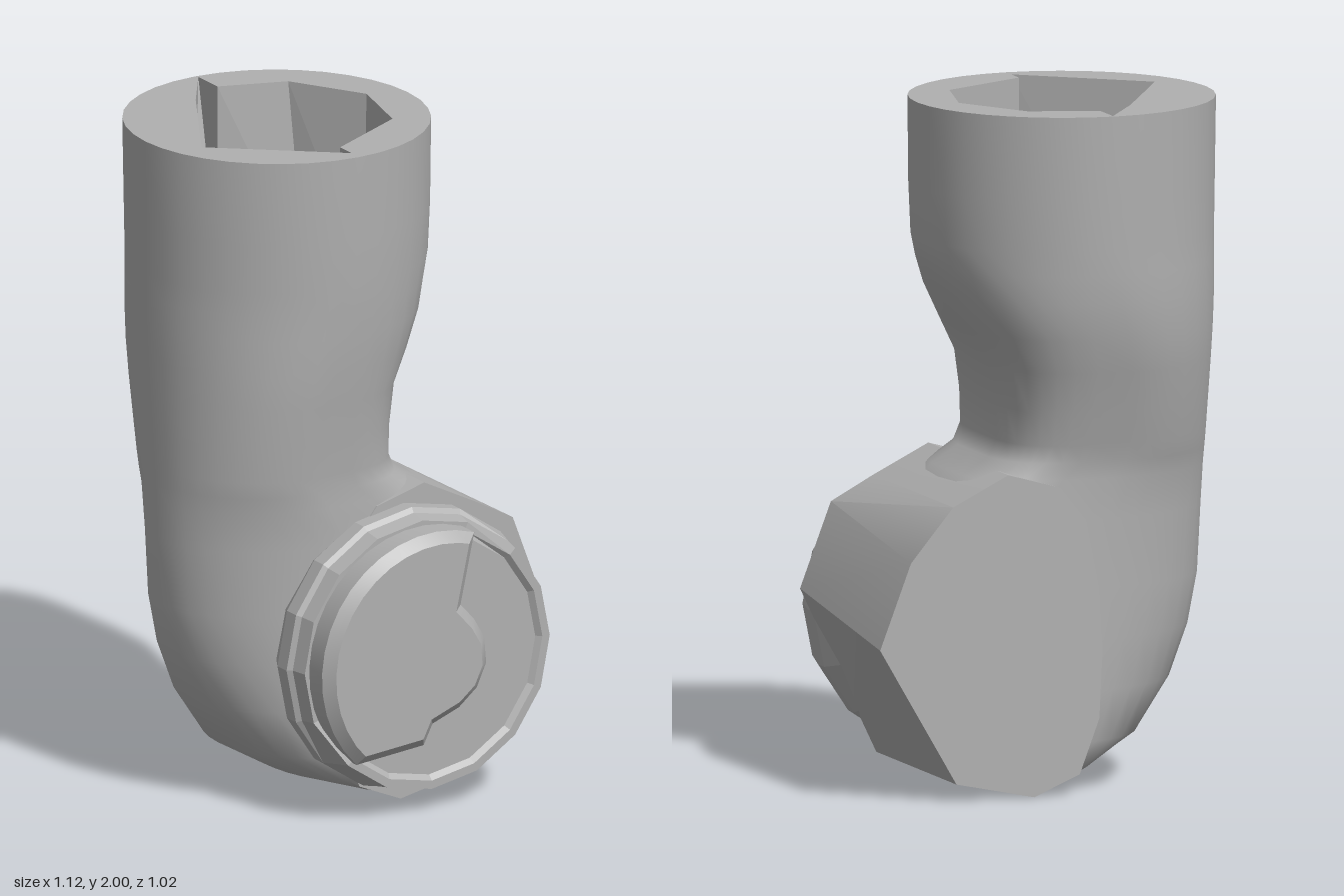
import * as THREE from 'three';
import { toCreasedNormals } from 'three/addons/utils/BufferGeometryUtils.js';

const V2 = (p) => p.map(([x, y]) => new THREE.Vector2(x, y));

// Skin between rings of [x, y, z] points, listed from top to bottom
function loft(rings) {
  const n = rings[0].length, index = [];
  for (let i = 0; i < rings.length - 1; i++) {
    for (let j = 0; j < n; j++) {
      const a = i * n + j, b = i * n + (j + 1) % n;
      index.push(a, b, a + n, b, b + n, a + n);
    }
  }
  const g = new THREE.BufferGeometry();
  g.setAttribute('position', new THREE.Float32BufferAttribute(rings.flat(2), 3));
  g.setIndex(index);
  g.computeVertexNormals();
  return g;
}

function flat(g) {
  const f = g.toNonIndexed();
  f.computeVertexNormals();
  return f;
}

// Oval ring at height y; its +x half grows squarer towards the waist and below
function oval([y, x0, x1, z0, z1], n = 36) {
  const square = 2 + 1.6 * THREE.MathUtils.clamp((1.55 - y) / 0.5, 0, 1);
  return Array.from({ length: n }, (_, j) => {
    const t = (j / n) * Math.PI * 2, c = Math.cos(t), s = Math.sin(t);
    const power = c > 0 ? 2 / square : 1;
    const u = Math.sign(c) * Math.abs(c) ** power, v = Math.sign(s) * Math.abs(s) ** power;
    return [(x0 + x1) / 2 + (x1 - x0) / 2 * u, y, (z0 + z1) / 2 + (z1 - z0) / 2 * v];
  });
}

// Move every vertex of a geometry by a rule
function bend(g, rule) {
  const pos = g.attributes.position, p = new THREE.Vector3();
  for (let i = 0; i < pos.count; i++) {
    rule(p.fromBufferAttribute(pos, i));
    pos.setXYZ(i, p.x, p.y, p.z);
  }
  return g;
}

export function createModel() {
  const group = new THREE.Group();
  const grey = new THREE.MeshStandardMaterial({ color: 0xb0b0b0 });
  const add = (name, geometry) => {
    const m = new THREE.Mesh(geometry, grey);
    m.name = name;
    group.add(m);
  };

  // Upper tube, waist and rounded elbow: y, x min, x max, z min, z max
  const sections = [
    [2, -0.56, 0.33, -0.51, 0.388],
    [1.75, -0.557, 0.328, -0.503, 0.382],
    [1.6, -0.555, 0.322, -0.497, 0.375],
    [1.53, -0.555, 0.305, -0.494, 0.37],
    [1.45, -0.555, 0.272, -0.488, 0.363],
    [1.34, -0.552, 0.21, -0.472, 0.353],
    [1.24, -0.55, 0.155, -0.442, 0.338],
    [1.12, -0.547, 0.132, -0.408, 0.322],
    [1.02, -0.545, 0.127, -0.38, 0.31],
    [0.97, -0.544, 0.15, -0.367, 0.305],
    [0.92, -0.543, 0.23, -0.36, 0.303],
    [0.8, -0.54, 0.36, -0.358, 0.302],
    [0.6, -0.53, 0.4, -0.358, 0.302],
    [0.45, -0.5, 0.42, -0.358, 0.302],
    [0.3, -0.44, 0.38, -0.358, 0.302],
    [0.15, -0.335, 0.32, -0.356, 0.302],
    [0.06, -0.18, 0.25, -0.345, 0.295],
    [0.02, -0.04, 0.15, -0.32, 0.27],
    [0.015, 0.05, 0.05, 0, 0],
  ];
  add('arm', loft(sections.map((s) => oval(s))));

  // Flat rim around the angular socket, which has a notch at the back
  const socket = [[-0.11, -0.5], [-0.11, -0.395], [0.09, -0.33], [0.22, -0.11], [0.16, 0.13],
    [-0.11, 0.28], [-0.11, 0.345], [-0.45, 0.07], [-0.4, -0.02], [-0.23, -0.32]];
  const socketBase = [[-0.18, -0.41], [-0.11, -0.39], [0.12, -0.29], [0.21, -0.11], [0.15, 0.16],
    [-0.11, 0.28], [-0.11, 0.34], [-0.36, 0.13], [-0.4, -0.02], [-0.23, -0.32]];
  const upward = (pts) => V2(pts.map(([x, z]) => [x, -z]));
  const rim = new THREE.Shape(upward(oval(sections[0]).map(([x, , z]) => [x, z])));
  rim.holes.push(new THREE.Path(upward(socket)));
  add('socketRim', new THREE.ShapeGeometry(rim).rotateX(-Math.PI / 2).translate(0, 2, 0));

  // Socket walls face inwards, so the rings run from bottom to top
  const at = (pts, y) => pts.map(([x, z]) => [x, y, z]);
  add('socketWall', flat(loft([at(socketBase, 1.45), at(socket, 2)])));
  add('socketFloor', new THREE.ShapeGeometry(new THREE.Shape(upward(socketBase)))
    .rotateX(-Math.PI / 2).translate(0, 1.45, 0));

  // Faceted joint drum running front to back, its outer edges slightly skewed
  const drum = new THREE.Shape(V2([[0.555, 0.5], [0.46, 0.75], [0.33, 0.86], [0.16, 0.945],
    [0, 0.9], [-0.08, 0.8], [-0.12, 0.6], [-0.13, 0.42], [-0.12, 0.22],
    [-0.06, 0.06], [0.08, 0], [0.32, 0.05]]));
  const drumBody = new THREE.ExtrudeGeometry(drum, { depth: 0.665, bevelEnabled: false }).translate(0, 0, -0.36);
  add('jointDrum', toCreasedNormals(bend(drumBody, (p) => {
    if (p.x > 0.4) p.y += 0.13 * p.z;
  }), 0.4));

  // Faceted collar, its rim lowered along the upper left
  const cx = 0.09, cy = 0.47;
  const collar = V2([[0.37, 0.2], [0.425, 0.3], [0.425, 0.35], [0.41, 0.41], [0.4, 0.46],
    [0.375, 0.46], [0.36, 0.445], [0, 0.445]]);
  const collarBody = bend(new THREE.LatheGeometry(collar, 16).rotateX(Math.PI / 2), (p) => {
    if (p.y - p.x > 0.1 && p.z > 0.4 && Math.hypot(p.x, p.y) > 0.37) p.z -= 0.05;
  });
  add('jointCollar', flat(collarBody.translate(cx, cy, 0)));

  // Raised plate with a stepped edge curving around the hub
  const plate = [];
  for (let i = 0; i <= 16; i++) {
    const t = THREE.MathUtils.degToRad(70 + (156 * i) / 16);
    plate.push([cx + 0.385 * Math.cos(t), cy + 0.385 * Math.sin(t)]);
  }
  plate.push([0.05, 0.215], [0.08, 0.275], [0.17, 0.31], [0.23, 0.36], [0.262, 0.43],
    [0.255, 0.51], [0.22, 0.57], [0.175, 0.62]);
  add('hubPlate', toCreasedNormals(new THREE.ExtrudeGeometry(new THREE.Shape(V2(plate)), {
    depth: 0.13, bevelThickness: 0.03, bevelSize: 0.03, bevelOffset: -0.03, bevelSegments: 1,
  }).translate(0, 0, 0.35), 0.5));

  return group;
}
